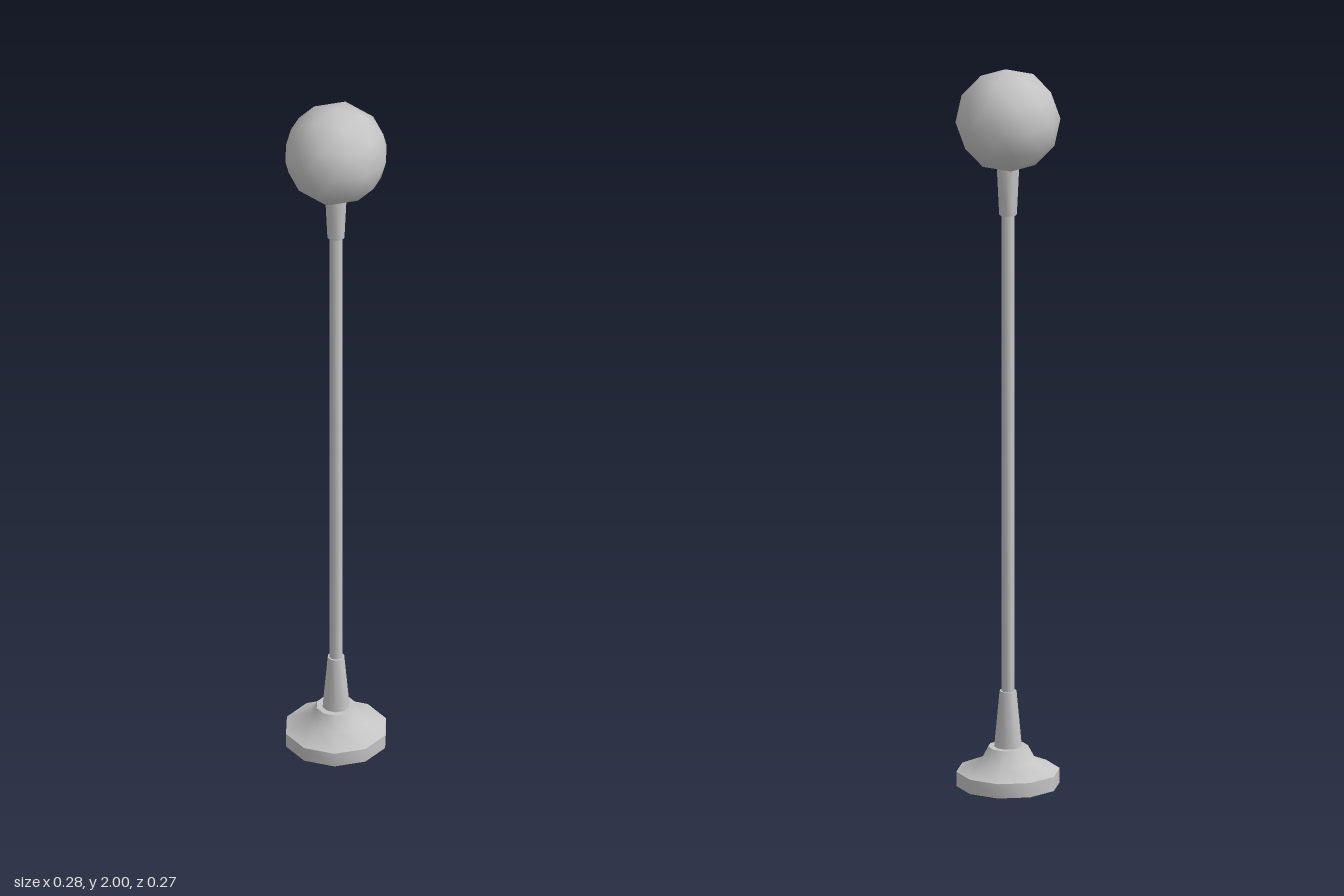
import * as THREE from 'three';
import { toCreasedNormals } from 'three/addons/utils/BufferGeometryUtils.js';

const SIDES = 10;

export function createModel() {
  const model = new THREE.Group();
  const grey = new THREE.MeshStandardMaterial({ color: 0xc4c4c4 });
  grey.name = 'light grey';

  const add = (name, geometry) => {
    const mesh = new THREE.Mesh(geometry, grey);
    mesh.name = name;
    model.add(mesh);
    return mesh;
  };

  // Ten-sided turned part from [radius, height] pairs, with corners on the x axis
  const turned = (name, profile) => {
    const points = profile.map(([r, y]) => new THREE.Vector2(r, y));
    const geometry = new THREE.LatheGeometry(points, SIDES);
    geometry.rotateY(Math.PI / SIDES);
    return add(name, toCreasedNormals(geometry, 0.8));
  };

  // Stepped foot plate
  turned('base', [[0, 0], [0.14, 0], [0.14, 0.04], [0.075, 0.068], [0.054, 0.107], [0, 0.107]]);

  // Tapered sleeve at the foot of the pole
  turned('lowerSleeve', [[0, 0.1], [0.038, 0.1], [0.023, 0.262], [0, 0.262]]);

  // Slim pole
  turned('pole', [[0, 0.1], [0.018, 0.1], [0.018, 1.62], [0, 1.62]]);

  // Flared holder under the globe
  turned('globeHolder', [[0, 1.595], [0.024, 1.595], [0.031, 1.74], [0, 1.74]]);

  // Faceted-outline, smooth-shaded globe with one corner pointing straight up
  const globe = new THREE.IcosahedronGeometry(0.142, 1);
  globe.rotateX(-Math.atan((1 + Math.sqrt(5)) / 2));
  globe.rotateY(Math.PI);
  add('globe', globe).position.y = 1.858;

  return model;
}
